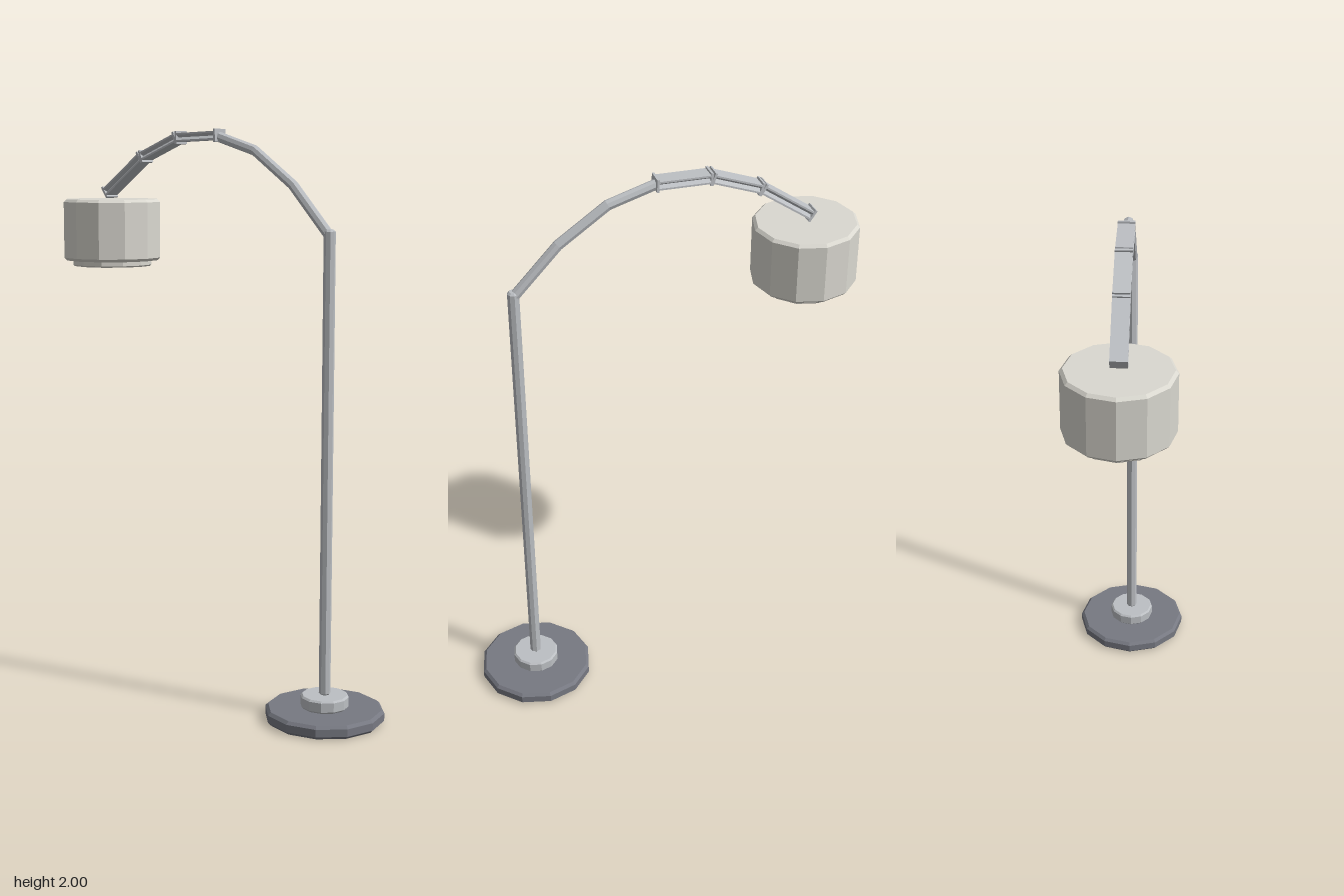
import * as THREE from 'three';

const mat = (color) => new THREE.MeshStandardMaterial({ color, flatShading: true });
const V = (x, y) => new THREE.Vector3(x, y, 0);

export function createModel() {
  const model = new THREE.Group();
  const metal = mat(0xbcbfc3), dark = mat(0x777982), fabric = mat(0xdad8d0);
  const poleX = 0.49, shadeX = -0.52;

  const add = (name, geometry, material, parent = model) => {
    const mesh = new THREE.Mesh(geometry, material);
    mesh.name = name;
    parent.add(mesh);
    return mesh;
  };
  // Faceted turned part with small bevels on both rims
  const disc = (name, x, r, y0, y1, bevel, sides, material) => {
    const profile = [[0, y0], [r - bevel, y0], [r, y0 + bevel], [r, y1 - bevel], [r - bevel, y1], [0, y1]]
      .map(([a, b]) => new THREE.Vector2(a, b));
    add(name, new THREE.LatheGeometry(profile, sides), material).position.x = x;
  };

  // Foot and upright
  disc('base', poleX, 0.205, 0, 0.046, 0.01, 12, dark);
  disc('baseCollar', poleX, 0.083, 0.046, 0.09, 0.006, 12, metal);
  disc('pole', poleX, 0.02, 0.088, 1.667, 0.007, 8, metal);

  // Slim bent tube rising from the pole
  const curve = new THREE.CatmullRomCurve3([V(poleX, 1.645), V(0.335, 1.808), V(0.168, 1.922), V(-0.005, 1.972)]);
  curve.getPointAt = (u) => curve.getPoint(u);
  curve.getTangentAt = (u) => curve.getTangent(u);
  add('armTube', new THREE.TubeGeometry(curve, 3, 0.018, 8), metal);

  // Wide arm sections with grooved sides and a lip at each end
  const w = 0.028, h = 0.015, groove = 0.012;
  const section = new THREE.Shape([
    [-w, -h], [w, -h], [w, -h + 0.006], [w - groove, 0], [w, h - 0.006],
    [w, h], [-w, h], [-w, h - 0.006], [-w + groove, 0], [-w, -h + 0.006],
  ].map(([x, y]) => new THREE.Vector2(x, y)));
  const joints = [V(-0.535, 1.772), V(-0.35, 1.902), V(-0.177, 1.968), V(0.012, 1.974)];
  for (let i = 0; i < 3; i++) {
    const a = joints[i], along = joints[i + 1].clone().sub(a), length = along.length();
    along.normalize();
    const up = V(-along.y, along.x);
    const arm = new THREE.Group();
    arm.name = 'armSection';
    arm.quaternion.setFromRotationMatrix(
      new THREE.Matrix4().makeBasis(up.clone().cross(along), up, along));
    arm.position.copy(a);
    add('armBeam', new THREE.ExtrudeGeometry(section, { depth: length, bevelEnabled: false }), metal, arm);
    for (const z of [0.004, length - 0.004]) {
      add('armLip', new THREE.BoxGeometry(2 * w, 0.044, 0.008), metal, arm).position.z = z;
    }
    model.add(arm);
  }

  // Drum shade with its recessed lower diffuser
  disc('shade', shadeX, 0.181, 1.528, 1.75, 0.01, 12, fabric);
  disc('diffuser', shadeX, 0.147, 1.507, 1.532, 0.005, 12, fabric);

  return model;
}
